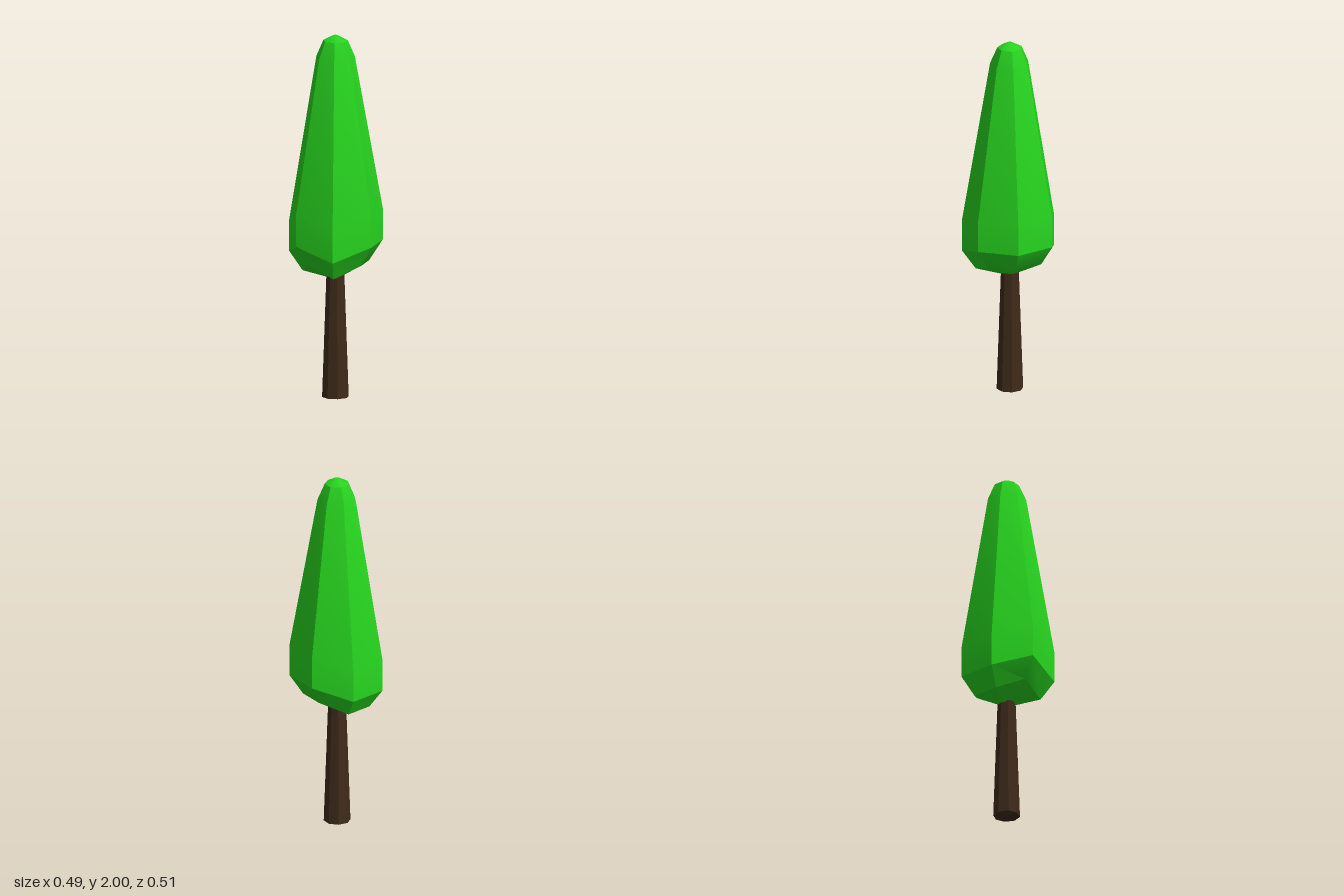
import * as THREE from 'three';
import { toCreasedNormals } from 'three/addons/utils/BufferGeometryUtils.js';

const SIDES = 7;
const AXIS_X = -0.014;

// Rings from bottom to top: radius, height, and how far the drooping corners sag.
const RINGS = [
  { r: 0, y: 0.65, sag: 0 },
  { r: 0.185, y: 0.748, sag: 0.06 },
  { r: 0.26, y: 0.86, sag: 0.07 },
  { r: 0.26, y: 1.035, sag: 0.07 },
  { r: 0.107, y: 1.88, sag: 0 },
  { r: 0.068, y: 1.97, sag: 0 },
  { r: 0.012, y: 2.0, sag: 0 },
  { r: 0, y: 2.0, sag: 0 },
];
const DROOPING = [2, 4, 5];

function crownGeometry() {
  const corner = (ring, i) => {
    const k = i % SIDES;
    const a = (k / SIDES) * Math.PI * 2;
    const y = ring.y - (DROOPING.includes(k) ? ring.sag : 0);
    return [ring.r * Math.cos(a), y, ring.r * Math.sin(a)];
  };
  const positions = [];
  for (let j = 0; j < RINGS.length - 1; j++) {
    const low = RINGS[j], high = RINGS[j + 1];
    for (let i = 0; i < SIDES; i++) {
      const a = corner(low, i), b = corner(high, i);
      const c = corner(high, i + 1), d = corner(low, i + 1);
      if (high.r > 0) positions.push(...a, ...b, ...c);
      if (low.r > 0) positions.push(...a, ...c, ...d);
    }
  }
  const geometry = new THREE.BufferGeometry();
  geometry.setAttribute('position', new THREE.Float32BufferAttribute(positions, 3));
  return toCreasedNormals(geometry, THREE.MathUtils.degToRad(31));
}

export function createModel() {
  const tree = new THREE.Group();
  tree.name = 'tree';

  // Tapered eight-sided trunk, running up into the crown
  const trunk = new THREE.Mesh(
    new THREE.CylinderGeometry(0.045, 0.073, 0.8, 8),
    new THREE.MeshStandardMaterial({ color: 0x3f2b1b, flatShading: true })
  );
  trunk.name = 'trunk';
  trunk.position.set(AXIS_X, 0.4, 0);
  tree.add(trunk);

  // Tall faceted crown with an uneven lower rim
  const crown = new THREE.Mesh(
    crownGeometry(),
    new THREE.MeshStandardMaterial({ color: 0x27d41f })
  );
  crown.name = 'crown';
  crown.position.x = AXIS_X;
  tree.add(crown);

  return tree;
}
